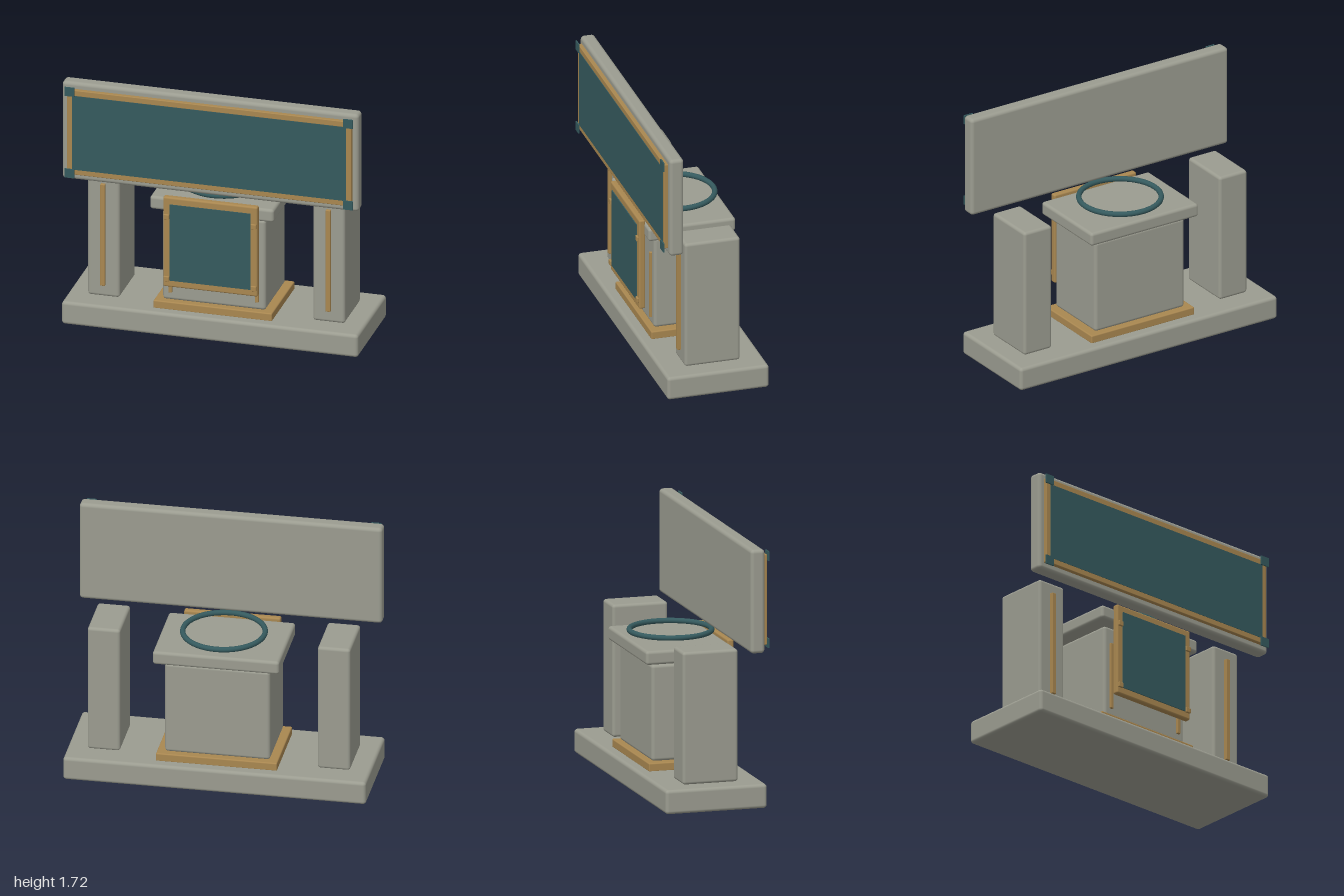
import * as THREE from 'three';
import { RoundedBoxGeometry } from 'three/addons/geometries/RoundedBoxGeometry.js';

export function createModel() {
  const model = new THREE.Group();
  const stone = new THREE.MeshStandardMaterial({ name: 'grey stone', color: 0x9b9c90 });
  const bronze = new THREE.MeshStandardMaterial({ name: 'bronze trim', color: 0xa98750 });
  const teal = new THREE.MeshStandardMaterial({ name: 'dark teal', color: 0x355a5e });

  // Box given by its low and high limits on each axis, with softened edges
  function block(name, material, [x0, x1], [y0, y1], [z0, z1], radius = 0) {
    const w = x1 - x0, h = y1 - y0, d = z1 - z0;
    const geometry = radius > 0
      ? new RoundedBoxGeometry(w, h, d, 3, radius)
      : new THREE.BoxGeometry(w, h, d);
    const mesh = new THREE.Mesh(geometry, material);
    mesh.name = name;
    mesh.position.set((x0 + x1) / 2, (y0 + y1) / 2, (z0 + z1) / 2);
    model.add(mesh);
    return mesh;
  }

  // Base, plinth, central pedestal and its cap
  block('base', stone, [-1, 1], [0, 0.16], [-0.355, 0.335], 0.022);
  block('plinth', bronze, [-0.4, 0.4], [0.155, 0.212], [-0.282, 0.262], 0.008);
  block('pedestal', stone, [-0.348, 0.348], [0.212, 0.852], [-0.246, 0.228], 0.022);
  block('pedestalCap', stone, [-0.418, 0.418], [0.868, 0.96], [-0.306, 0.286], 0.02);

  // Ring above the cap
  const ring = new THREE.Mesh(new THREE.TorusGeometry(0.268, 0.018, 12, 64), teal);
  ring.name = 'ring';
  ring.rotation.x = Math.PI / 2;
  ring.position.set(0, 1.004, -0.01);
  model.add(ring);

  // Front board with its inset plate
  block('frontBoard', bronze, [-0.319, 0.319], [0.346, 0.982], [0.277, 0.321], 0.012);
  block('frontPlate', teal, [-0.273, 0.273], [0.394, 0.934], [0.319, 0.327]);

  // Header panel with its frame and plate
  block('header', stone, [-1, 1], [1.03, 1.72], [0.224, 0.32], 0.024);
  for (const [y0, y1] of [[1.077, 1.118], [1.635, 1.677]])
    block('headerRail', bronze, [-0.96, 0.96], [y0, y1], [0.315, 0.346], 0.005);
  block('headerPlate', teal, [-0.924, 0.924], [1.114, 1.638], [0.342, 0.349]);
  block('headerBacking', bronze, [-0.93, 0.93], [1.11, 1.64], [0.315, 0.342]);

  // Mirrored parts
  for (const s of [-1, 1]) {
    const side = s > 0 ? 'left' : 'right';
    const span = (a, b) => (s > 0 ? [a, b] : [-b, -a]);
    block(side + 'Column', stone, span(0.652, 0.868), [0.16, 1.04], [-0.198, 0.178], 0.02);
    block(side + 'ColumnStrip', bronze, span(0.745, 0.777), [0.243, 0.963], [0.17, 0.201], 0.004);
    block(side + 'PedestalStrip', bronze, span(0.28, 0.304), [0.27, 0.735], [0.22, 0.244], 0.004);
    block(side + 'HeaderStile', bronze, span(0.918, 0.96), [1.1, 1.655], [0.315, 0.346], 0.005);
    for (const y of [1.088, 1.667])
      block(side + 'HeaderCorner', teal, span(0.907, 0.973), [y - 0.031, y + 0.031], [0.349, 0.358]);
    for (const y of [0.406, 0.846])
      block(side + 'BoardClip', bronze, span(0.275, 0.313), [y - 0.017, y + 0.017], [0.319, 0.335], 0.004);
  }
  return model;
}
